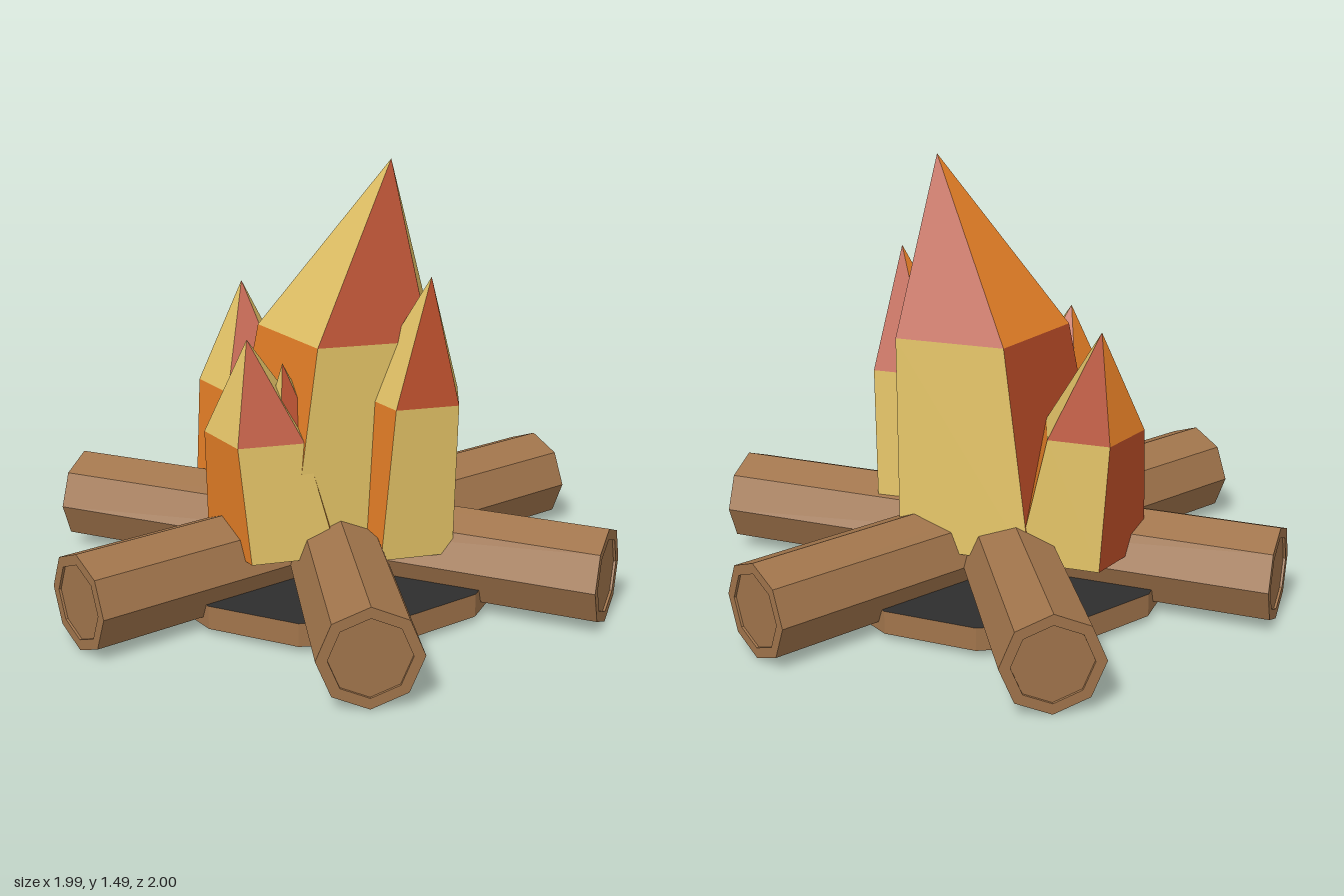
import * as THREE from 'three';

const mat = (name, color) => {
  const m = new THREE.MeshStandardMaterial({ color, flatShading: true });
  m.name = name;
  return m;
};

// Five-sided flame: base ring, shoulder ring and an off-centre tip.
// Rings are [x, y, z, radius]; the tip is [x, y, z].
function flameGeometry(base, shoulder, tip) {
  const SIDES = 5;
  const ring = ([x, y, z, r]) => Array.from({ length: SIDES }, (_, k) => {
    const a = (k / SIDES) * Math.PI * 2;
    return [x + r * Math.cos(a), y, z + r * Math.sin(a)];
  });
  const low = ring(base), high = ring(shoulder);
  const positions = [];
  const geometry = new THREE.BufferGeometry();
  const addFace = (materialIndex, ...corners) => {
    geometry.addGroup(positions.length / 3, corners.length, materialIndex);
    corners.forEach((c) => positions.push(...c));
  };
  for (let i = 0; i < SIDES; i++) {
    const j = (i + 1) % SIDES;
    // The three colours cycle round the sides, shifted by one on the tip
    addFace(i % 3, low[i], high[i], high[j], low[i], high[j], low[j]);
    addFace((i + 2) % 3, high[i], tip, high[j]);
    addFace(1, base.slice(0, 3), low[i], low[j]);
  }
  geometry.setAttribute('position', new THREE.Float32BufferAttribute(positions, 3));
  geometry.computeVertexNormals();
  return geometry;
}

// Octagonal log along z, with a shallow recess in each end
function logGeometry(half, radius) {
  const inner = radius * 0.78, sunk = half - 0.008;
  const profile = [
    [0, -sunk], [inner, -sunk], [inner, -half], [radius, -half],
    [radius, half], [inner, half], [inner, sunk], [0, sunk],
  ].map(([x, y]) => new THREE.Vector2(x, y));
  return new THREE.LatheGeometry(profile, 8).rotateX(Math.PI / 2);
}

export function createModel() {
  const wood = mat('wood', 0xa0744b);
  const ash = mat('ash', 0x2e2e2e);
  const yellow = mat('flame yellow', 0xe0c065);
  const orange = mat('flame orange', 0xe47e26);
  const red = mat('flame red', 0xb54a26);

  const model = new THREE.Group();
  model.name = 'campfire';
  const add = (name, geometry, material) => {
    const mesh = new THREE.Mesh(geometry, material);
    mesh.name = name;
    model.add(mesh);
    return mesh;
  };

  // Round base, wooden at the rim and charred above and below
  add('ashBed', new THREE.CylinderGeometry(0.62, 0.62, 0.08, 12), [wood, ash, ash]).position.y = 0.06;

  // Three logs crossing at the centre
  const log = logGeometry(0.99, 0.164);
  for (let i = 0; i < 3; i++) {
    const mesh = add('log', log, wood);
    mesh.position.y = 0.165;
    mesh.rotation.y = THREE.MathUtils.degToRad(106 + 60 * i);
  }

  // Flames
  const flames = {
    mainFlame: [[0.01, 0.21, -0.01, 0.39], [0.08, 0.92, -0.025, 0.318], [0.21, 1.49, -0.06]],
    leftFlame: [[0.30, 0.21, -0.02, 0.21], [0.35, 0.73, -0.01, 0.18], [0.42, 1.14, 0]],
    rightFlame: [[-0.333, 0.21, -0.02, 0.237], [-0.397, 0.64, -0.03, 0.177], [-0.46, 0.99, -0.07]],
    frontFlame: [[-0.006, 0.215, 0.25, 0.246], [-0.038, 0.605, 0.31, 0.188], [-0.06, 0.925, 0.35]],
    smallFlame: [[0.06, 0.22, 0.2, 0.13], [0.05, 0.58, 0.25, 0.11], [0.04, 0.85, 0.29]],
  };
  for (const [name, parts] of Object.entries(flames)) {
    add(name, flameGeometry(...parts), [yellow, orange, red]);
  }

  return model;
}
